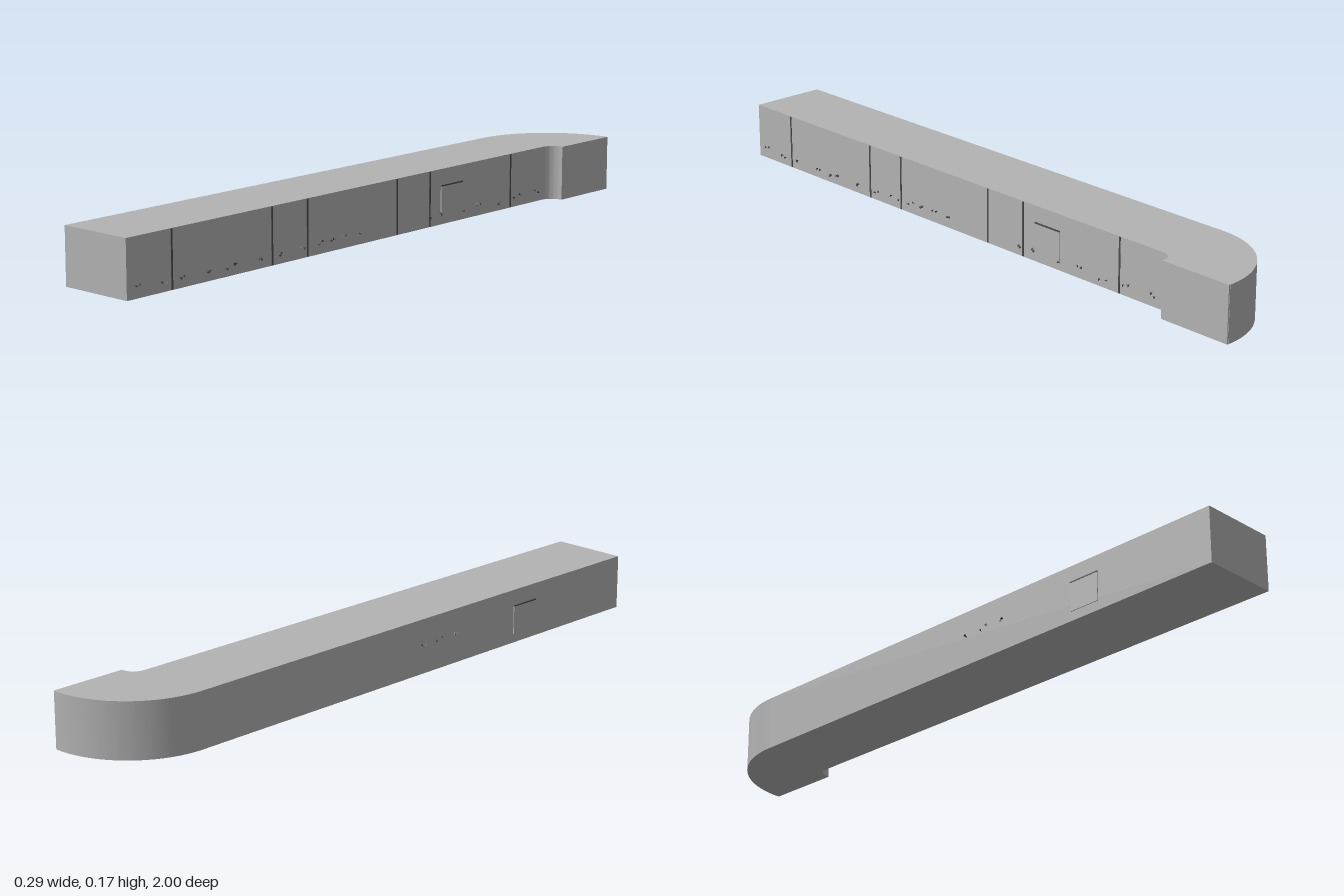
import * as THREE from 'three';
import { toCreasedNormals } from 'three/addons/utils/BufferGeometryUtils.js';

const HEIGHT = 0.165, LEFT = 0.1, RIGHT = -0.133;

export function createModel() {
  const model = new THREE.Group();
  const wallGrey = new THREE.MeshStandardMaterial({ color: 0xb3b3b3 });
  wallGrey.name = 'wall grey';
  const seamGrey = new THREE.MeshStandardMaterial({ color: 0x4c4c4c });
  seamGrey.name = 'seam grey';

  const add = (name, geometry, material, x = 0, y = 0, z = 0) => {
    const mesh = new THREE.Mesh(geometry, material);
    mesh.name = name;
    mesh.position.set(x, y, z);
    model.add(mesh);
    return mesh;
  };

  // Long corridor with a quarter-turn at the back, drawn as a plan (plan y = -z)
  const cx = 0.141, cy = 0.727, tip = 0.145;
  const plan = new THREE.Shape();
  plan.moveTo(RIGHT, -1);
  plan.lineTo(LEFT, -1);
  plan.lineTo(LEFT, cy);
  plan.absarc(cx, cy, cx - LEFT, Math.PI, Math.PI / 2, true);
  plan.lineTo(tip, cy + cx - LEFT);
  plan.lineTo(tip, 1);
  plan.lineTo(cx, 1);
  plan.absarc(cx, cy, cx - RIGHT, Math.PI / 2, Math.PI, false);
  plan.closePath();
  const body = new THREE.ExtrudeGeometry(plan, { depth: HEIGHT, bevelEnabled: false, curveSegments: 20 });
  body.rotateX(-Math.PI / 2);
  add('corridor', toCreasedNormals(body, 0.5), wallGrey);

  // Vertical seams between the wall panels
  for (const z of [0.84, 0.465, 0.325, -0.05, -0.195, -0.57]) {
    add('wallSeam', new THREE.BoxGeometry(0.002, HEIGHT - 0.002, 0.006), seamGrey, LEFT, HEIGHT / 2, z);
  }

  // Shallow wall plates with a dark top edge
  for (const [x, z] of [[LEFT, -0.293], [RIGHT, 0.56]]) {
    add('wallPlate', new THREE.BoxGeometry(0.005, 0.086, 0.098), wallGrey, x, 0.071, z);
    add('plateEdge', new THREE.BoxGeometry(0.006, 0.004, 0.098), seamGrey, x, 0.115, z);
  }

  // Small chips poking out of the walls
  let seed = 7;
  const rand = () => (seed = (seed * 16807) % 2147483647) / 2147483647;
  const chip = new THREE.TetrahedronGeometry(0.006);
  const scatter = (x, side, y, spread, zs) => {
    for (const z of zs) {
      for (let i = 0; i < 2; i++) {
        const mesh = add('chip', chip, seamGrey, x + side * rand() * 0.01,
          y + (rand() - 0.5) * spread, z + (rand() - 0.5) * 0.03);
        mesh.rotation.set(rand() * 6, rand() * 6, rand() * 6);
        mesh.scale.set(1, 0.6, 1);
      }
    }
  };
  scatter(LEFT, 1, 0.03, 0.015, [0.96, 0.87, 0.8, 0.7, 0.65, 0.61, 0.51, 0.44, 0.35, 0.28,
    0.24, 0.18, 0.1, -0.18, -0.25, -0.35, -0.42, -0.51, -0.6, -0.69]);
  scatter(RIGHT, -1, 0.092, 0.01, [0.12, 0.18, 0.25]);
  return model;
}
